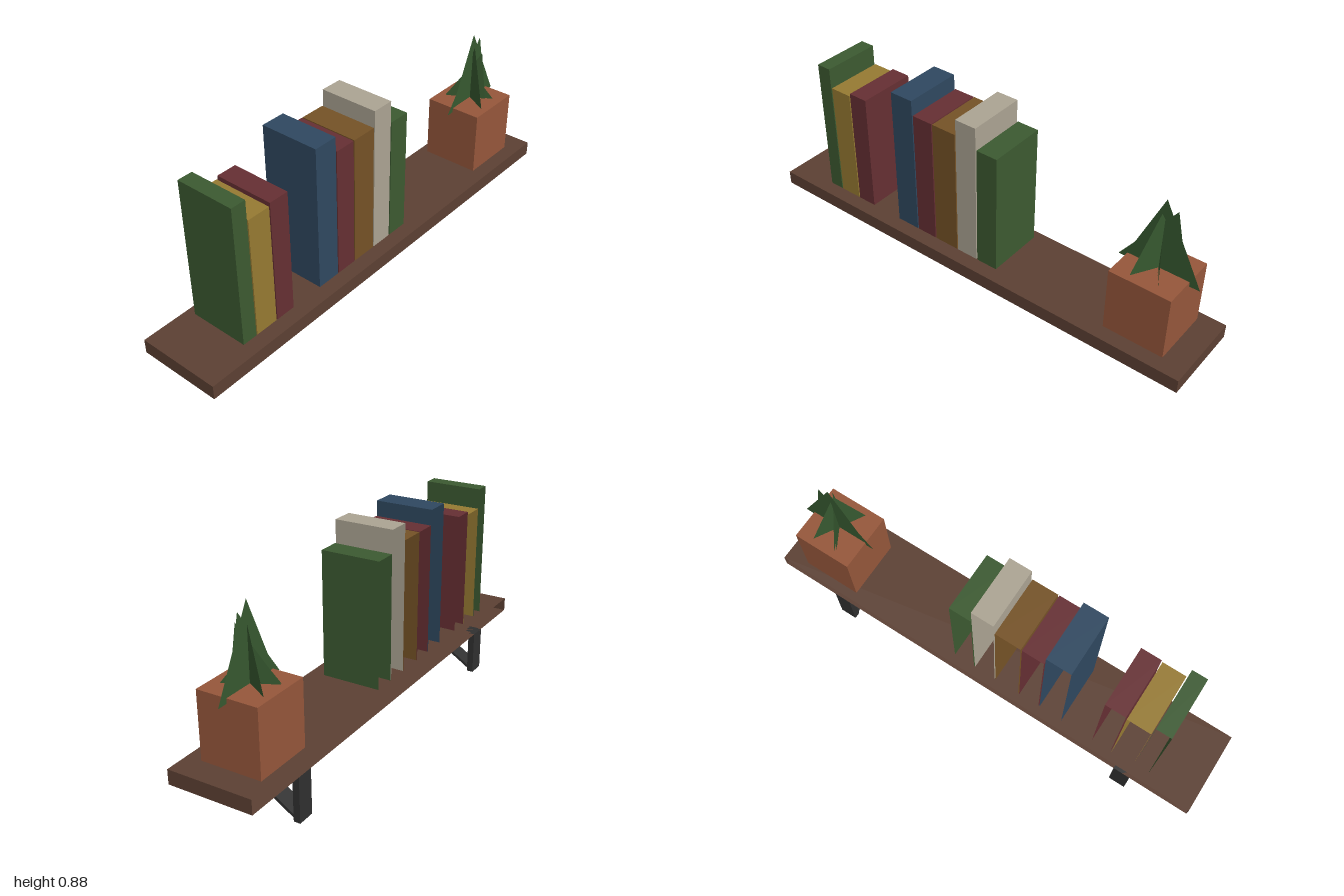
import * as THREE from 'three';

function paint(name, color) {
  const m = new THREE.MeshStandardMaterial({ color, side: THREE.DoubleSide });
  m.name = name;
  return m;
}

export function createModel() {
  const model = new THREE.Group();
  const wood = paint('wood', 0x5c4033);
  const iron = paint('iron', 0x303030);
  const clay = paint('clay', 0x96573b);
  const leafGreen = paint('leafGreen', 0x375930);
  const green = paint('greenCover', 0x3c5a31);
  const gold = paint('goldCover', 0x967a32);
  const maroon = paint('maroonCover', 0x662f33);
  const blue = paint('blueCover', 0x2f4860);
  const brown = paint('brownCover', 0x755226);
  const cream = paint('creamCover', 0xaca493);

  // Box from min/max corners; open lists the sides left out
  // (0 +x, 1 -x, 2 +y, 3 -y, 4 +z, 5 -z).
  function box(name, material, [x0, x1], [y0, y1], [z0, z1], open = [], parent = model) {
    const geo = new THREE.BoxGeometry(x1 - x0, y1 - y0, z1 - z0);
    const index = Array.from(geo.index.array);
    geo.setIndex(index.filter((_, i) => !open.includes(Math.floor(i / 6))));
    geo.clearGroups();
    const mesh = new THREE.Mesh(geo, material);
    mesh.name = name;
    mesh.position.set((x0 + x1) / 2, (y0 + y1) / 2, (z0 + z1) / 2);
    parent.add(mesh);
    return mesh;
  }

  // Shelf board, open at the wall side
  box('shelfBoard', wood, [-1, 1], [0.19, 0.25], [-0.176, 0.178], [5]);

  // Brackets: wall plate, top arm and diagonal brace
  for (const x of [-0.7, 0.7]) {
    const bracket = new THREE.Group();
    bracket.name = 'bracket';
    const w = [x - 0.037, x + 0.037];
    box('wallPlate', iron, w, [0, 0.19], [-0.176, -0.148], [], bracket);
    box('topArm', iron, w, [0.159, 0.19], [-0.148, 0.104], [], bracket);
    const section = new THREE.Shape([[0.052, 0.157], [0.052, 0.144], [-0.148, 0.016], [-0.148, 0.03]]
      .map(([z, y]) => new THREE.Vector2(-z, y)));
    const brace = new THREE.Mesh(
      new THREE.ExtrudeGeometry(section, { depth: 0.074, bevelEnabled: false }), iron);
    brace.name = 'brace';
    brace.rotation.y = Math.PI / 2;
    brace.position.x = w[0];
    bracket.add(brace);
    model.add(bracket);
  }

  // Books: left edge, right edge, top, cover; open at the back and underneath
  const books = [
    [-0.791, -0.727, 0.848, green], [-0.722, -0.623, 0.762, gold], [-0.618, -0.532, 0.775, maroon],
    [-0.385, -0.28, 0.872, blue], [-0.275, -0.182, 0.808, maroon], [-0.177, -0.066, 0.808, brown],
    [-0.061, 0.035, 0.877, cream], [0.04, 0.135, 0.782, green],
  ];
  for (const [x0, x1, top, cover] of books) {
    box('book', cover, [x0, x1], [0.25, top], [-0.139, 0.115], [3, 5]);
  }

  // Plant pot
  box('pot', clay, [0.642, 0.898], [0.25, 0.525], [-0.139, 0.115]);

  // Leaves: upright flat triangles crossing at the pot centre
  // [turn in degrees, left corner, right corner, tip offset, tip height]
  const leaves = [
    [0, -0.142, 0.17, -0.002, 0.83], [0, -0.167, 0.118, 0.047, 0.8],
    [60, -0.125, 0.125, -0.015, 0.773], [120, -0.117, 0.12, 0.008, 0.665],
    [115, -0.07, 0.12, -0.04, 0.745],
  ];
  const plant = new THREE.Group();
  plant.name = 'plant';
  plant.position.set(0.772, 0, -0.013);
  for (const [turn, left, right, tip, top] of leaves) {
    const shape = new THREE.Shape([
      new THREE.Vector2(left, 0.505), new THREE.Vector2(right, 0.505), new THREE.Vector2(tip, top)]);
    const leaf = new THREE.Mesh(new THREE.ShapeGeometry(shape), leafGreen);
    leaf.name = 'leaf';
    leaf.rotation.y = THREE.MathUtils.degToRad(turn);
    plant.add(leaf);
  }
  model.add(plant);
  return model;
}
